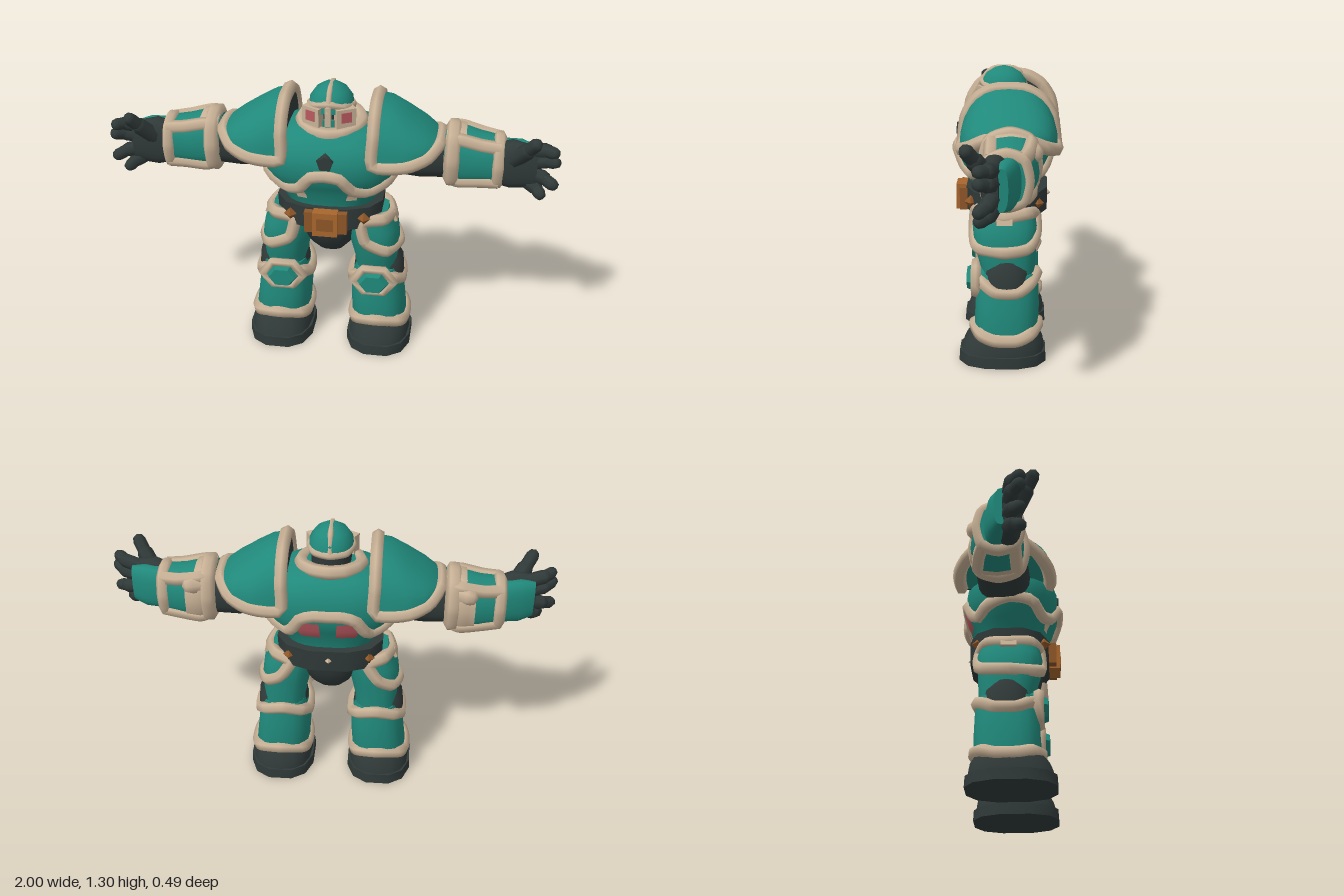
import * as THREE from 'three';
import { toCreasedNormals } from 'three/addons/utils/BufferGeometryUtils.js';

const mat = (name, hex) => {
  const m = new THREE.MeshStandardMaterial({ color: hex });
  m.name = name;
  return m;
};
const V = (x, y, z) => new THREE.Vector3(x, y, z);

export function createModel() {
  const teal = mat('teal armour', 0x20897b), tan = mat('tan trim', 0xc8b196), dark = mat('dark suit', 0x303a39);
  const orange = mat('orange buckle', 0xa9662d), brown = mat('brown metal', 0x8e5628), red = mat('red lights', 0xb9595f);
  const root = new THREE.Group();
  root.name = 'armouredFigure';
  let parent = root;

  const add = (name, geo, m, p = [0, 0, 0], r = [0, 0, 0]) => {
    const mesh = new THREE.Mesh(geo, m);
    mesh.name = name;
    mesh.position.set(...p);
    mesh.rotation.set(...r);
    parent.add(mesh);
    return mesh;
  };

  // A body is rows [t, centreU, centreV, radiusU, radiusV] along the y axis (u = x) or x axis (u = y)
  const body = (rows, o = {}) => ({ rows, axis: 'y', s: 1, e: 0.78, n: 20, start: 0, half: false, ...o });
  const pow = (v, e) => Math.sign(v) * Math.abs(v) ** e;
  function surf(b, t, deg, off = 0) {
    let i = 0;
    while (i < b.rows.length - 2 && t > b.rows[i + 1][0]) i++;
    const p = b.rows[i], q = b.rows[i + 1], k = (t - p[0]) / (q[0] - p[0]);
    const r = p.map((v, j) => v + (q[j] - v) * k), a = THREE.MathUtils.degToRad(deg);
    const c = pow(Math.cos(a), b.e);
    const u = r[1] + (r[3] + off) * (b.half ? Math.max(0, c) : c);
    const v = r[2] + (r[4] + off) * pow(Math.sin(a), b.e);
    return b.axis === 'y' ? V(b.s * u, t, v) : V(b.s * t, u, v);
  }

  // Skin a grid of points, optionally as a closed and capped solid
  function skin(grid, solid, flip) {
    const n = grid[0].length, pts = grid.flat(), idx = [];
    const tri = (a, b, c) => (flip ? idx.push(a, c, b) : idx.push(a, b, c));
    for (let i = 0; i < grid.length - 1; i++) {
      for (let j = 0; j < (solid ? n : n - 1); j++) {
        const k = (j + 1) % n, a = i * n + j, b = i * n + k;
        tri(a, b, a + n);
        tri(b, b + n, a + n);
      }
    }
    if (solid) {
      [0, grid.length - 1].forEach((row) => {
        const c = pts.length;
        pts.push(grid[row].reduce((s, p) => s.add(p), V(0, 0, 0)).divideScalar(n));
        for (let j = 0; j < n; j++) {
          const a = row * n + j, b = row * n + ((j + 1) % n);
          row ? tri(c, a, b) : tri(c, b, a);
        }
      });
    }
    const g = new THREE.BufferGeometry().setFromPoints(pts);
    g.setIndex(idx);
    return toCreasedNormals(g, 0.75);
  }
  const flipped = (b) => (b.axis === 'y') !== (b.s < 0);
  const solid = (name, b, m) => {
    const ring = (r) => Array.from({ length: b.n }, (_, j) => surf(b, r[0], b.start + (j * 360) / b.n));
    add(name, skin(b.rows.map(ring), true, flipped(b)), m);
    return b;
  };
  // Thin painted plate lying on a body
  const patch = (name, b, m, a0, a1, t0, t1, off = 0.008) => {
    const grid = [0, 1, 2, 3, 4].map((i) => [0, 1, 2, 3, 4].map((j) =>
      surf(b, t0 + ((t1 - t0) * i) / 4, a0 + ((a1 - a0) * j) / 4, off)));
    add(name, skin(grid, false, flipped(b)), m);
  };
  const tube = (name, pts, r, m = tan, closed = true) =>
    add(name, new THREE.TubeGeometry(new THREE.CatmullRomCurve3(pts, closed, 'catmullrom', 0.3), 56, r, 6, closed), m);
  // Trim following a body through [angle, t] pairs, sunk a little into it
  const trim = (name, b, list, r, closed = true) => tube(name, list.map(([a, t]) => surf(b, t, a, -0.006)), r, tan, closed);
  const mirrored = (list) => [...list, ...list.slice(1, -1).reverse().map(([a, t]) => [180 - a, t])];
  const limb = (name, a, b, r, m) => {
    const d = b.clone().sub(a);
    const mesh = add(name, new THREE.CapsuleGeometry(r, d.length(), 2, 7), m, a.clone().add(b).multiplyScalar(0.5).toArray());
    mesh.quaternion.setFromUnitVectors(V(0, 1, 0), d.normalize());
  };

  // Torso
  const torso = solid('torso', body([[0.74, 0, 0, 0.19, 0.15], [0.82, 0, 0, 0.24, 0.165], [0.86, 0, 0, 0.275, 0.19],
    [0.92, 0, 0.005, 0.3, 0.212], [1, 0, 0.005, 0.3, 0.212], [1.06, 0, 0, 0.27, 0.19], [1.1, 0, -0.005, 0.21, 0.155],
    [1.125, 0, -0.01, 0.12, 0.1]], { n: 28 }), teal);
  trim('chestTrim', torso, mirrored([[90, 0.94], [82, 0.93], [71, 0.865], [50, 0.845], [25, 0.885], [0, 0.895],
    [-25, 0.87], [-48, 0.845], [-61, 0.87], [-72, 0.935], [-82, 0.955], [-90, 0.955]]), 0.03);
  add('chestGem', new THREE.CylinderGeometry(0.036, 0.046, 0.03, 5), dark, [0, 1, 0.207], [Math.PI / 2, Math.PI, 0]);
  for (const a of [62, 106]) patch('bellyMark', torso, tan, a, a + 12, 0.8, 0.84);
  for (const a of [-86, -112]) patch('backLight', torso, red, a, a + 18, 0.83, 0.92);

  // Pelvis and belt
  solid('pelvis', body([[0.48, 0, 0, 0.06, 0.06], [0.53, 0, 0, 0.1, 0.11], [0.6, 0, 0, 0.14, 0.14], [0.68, 0, 0, 0.19, 0.155]]), dark);
  solid('belt', body([[0.655, 0, -0.005, 0.24, 0.185], [0.76, 0, -0.005, 0.245, 0.187]], { n: 12, start: 15 }), dark);
  add('buckle', new THREE.BoxGeometry(0.19, 0.1, 0.035), brown, [0, 0.702, 0.19]);
  add('buckleCentre', new THREE.BoxGeometry(0.11, 0.115, 0.05), orange, [0, 0.702, 0.2]);
  add('bucklePanel', new THREE.BoxGeometry(0.075, 0.06, 0.008), brown, [0, 0.702, 0.223]);
  for (const s of [-1, 1]) {
    add('beltStud', new THREE.OctahedronGeometry(0.03), brown, [s * 0.165, 0.71, 0.153]);
    add('rearBeltStud', new THREE.OctahedronGeometry(0.028), brown, [s * 0.178, 0.71, -0.145]);
  }
  add('backBeltStud', new THREE.OctahedronGeometry(0.027), tan, [0, 0.71, -0.175]);

  // Head and collar
  solid('neck', body([[1.08, 0, 0, 0.085, 0.085], [1.2, 0, 0.005, 0.092, 0.1]], { e: 0.95 }), dark);
  const dome = solid('helmetDome', body([[1.185, 0, 0.01, 0.1, 0.108], [1.23, 0, 0.01, 0.094, 0.1],
    [1.265, 0, 0.01, 0.07, 0.077], [1.288, 0, 0.01, 0.035, 0.04], [1.295, 0, 0.01, 0.008, 0.01]], { e: 0.95 }), teal);
  trim('helmetBand', dome, mirrored([[90, 1.225], [45, 1.21], [0, 1.195], [-45, 1.19], [-90, 1.19]]), 0.017);
  tube('helmetCrest', [V(0, 1.19, 0.116), V(0, 1.23, 0.105), V(0, 1.265, 0.08), V(0, 1.283, 0.045),
    V(0, 1.283, -0.025), V(0, 1.265, -0.06), V(0, 1.19, -0.093)], 0.013, tan, false);
  add('noseGuard', new THREE.BoxGeometry(0.026, 0.085, 0.03), tan, [0, 1.175, 0.11]);
  add('mouthGuard', new THREE.BoxGeometry(0.05, 0.06, 0.03), teal, [0, 1.125, 0.095]);
  for (const s of [-1, 1]) {
    const cheek = new THREE.Group();
    cheek.name = 'cheek';
    cheek.position.set(s * 0.068, 1.155, 0.087);
    cheek.rotation.y = s * 0.5;
    root.add(cheek);
    parent = cheek;
    add('cheekGuard', new THREE.BoxGeometry(0.088, 0.11, 0.045), tan);
    add('eye', new THREE.BoxGeometry(0.046, 0.046, 0.008), red, [0, 0.018, 0.022]);
    parent = root;
  }
  tube('collar', Array.from({ length: 12 }, (_, i) => {
    const a = (i * Math.PI) / 6;
    return V(0.132 * Math.cos(a), 1.115 - 0.017 * Math.sin(a), 0.13 * Math.sin(a));
  }), 0.031);

  for (const s of [-1, 1]) {
    const side = s > 0 ? 'left' : 'right';
    const group = (name) => {
      parent = new THREE.Group();
      parent.name = side + name;
      root.add(parent);
    };
    const X = { axis: 'x', s };

    // Shoulder pad with a rim running round its whole edge
    group('Shoulder');
    const P = { ...X, half: true, n: 28, e: 0.84 };
    const pad = solid('shoulderPad', body([[0.19, 0.99, -0.018, 0.245, 0.205], [0.26, 0.985, -0.018, 0.235, 0.21],
      [0.33, 0.988, -0.018, 0.19, 0.208], [0.41, 1.01, -0.018, 0.115, 0.18], [0.465, 1.04, -0.014, 0.045, 0.12],
      [0.485, 1.05, -0.01, 0.015, 0.075]], P), teal);
    solid('padLining', body([[0.184, 0.99, -0.018, 0.235, 0.195], [0.195, 0.99, -0.018, 0.235, 0.195]], P), dark);
    const rim = [[90, 0.2], [90, 0.29], [90, 0.36], [90, 0.43], [60, 0.475], [0, 0.48], [-60, 0.475], [-90, 0.43],
      [-90, 0.36], [-90, 0.29], [-90, 0.2], [-65, 0.2], [-40, 0.2], [-15, 0.2], [15, 0.2], [40, 0.2], [65, 0.2]];
    trim('shoulderTrim', pad, rim, 0.03);

    // Arm and gauntlet
    group('Arm');
    solid('upperArm', body([[0.22, 1, -0.02, 0.11, 0.12], [0.4, 0.98, -0.025, 0.11, 0.115], [0.53, 0.97, -0.03, 0.1, 0.095]], X), dark);
    const fore = solid('gauntlet', body([[0.5, 0.985, -0.02, 0.115, 0.095], [0.56, 0.975, -0.035, 0.13, 0.115],
      [0.65, 0.967, -0.03, 0.113, 0.106], [0.76, 0.962, -0.015, 0.105, 0.085]], X), teal);
    const ring = [0, 45, 90, 135, 180, 225, 270, 315];
    trim('elbowTrim', fore, ring.map((a) => [a, 0.535]), 0.037);
    trim('wristTrim', fore, ring.map((a) => [a, 0.735]), 0.03);
    for (const a of [42, 138, 222, 318]) trim('gauntletTrim', fore, [[a, 0.52], [a, 0.57], [a, 0.66], [a, 0.74]], 0.031, false);
    for (const a of [0, 180]) patch('elbowBand', fore, tan, a - 45, a + 45, 0.505, 0.59);
    patch('elbowPlate', fore, tan, 222, 318, 0.505, 0.63);
    limb('elbowKnob', V(s * 0.54, 1.04, -0.1), V(s * 0.6, 1.04, -0.125), 0.042, tan);

    // Hand with the palm to the front
    solid('backOfHand', body([[0.75, 0.962, -0.025, 0.098, 0.055], [0.83, 0.965, -0.018, 0.1, 0.045], [0.89, 0.965, 0, 0.085, 0.03]], X), teal);
    solid('palm', body([[0.75, 0.965, 0.02, 0.1, 0.055], [0.79, 0.968, 0.025, 0.112, 0.055], [0.9, 0.965, 0.038, 0.095, 0.03]], X), dark);
    const fingers = [[1.035, 0.93, 1.05, 0.962, 1.055], [0.985, 0.935, 1.0, 0.97, 1.01], [0.935, 0.93, 0.92, 0.97, 0.905], [0.89, 0.9, 0.87, 0.92, 0.855]];
    for (const [y0, x1, y1, x2, y2] of fingers) {
      limb('fingerBase', V(s * 0.86, y0, 0.028), V(s * x1, y1, 0.045), 0.033, dark);
      limb('fingerTip', V(s * x1, y1, 0.045), V(s * x2, y2, 0.075), 0.028, dark);
    }
    limb('thumbBase', V(s * 0.8, 1.0, 0.05), V(s * 0.85, 1.065, 0.095), 0.037, dark);
    limb('thumbTip', V(s * 0.85, 1.065, 0.095), V(s * 0.88, 1.11, 0.125), 0.03, dark);

    // Leg
    group('Leg');
    const thigh = solid('thigh', body([[0.35, 0.215, -0.02, 0.095, 0.11], [0.45, 0.213, -0.01, 0.1, 0.125],
      [0.54, 0.205, 0, 0.113, 0.14], [0.62, 0.19, 0, 0.117, 0.145], [0.7, 0.155, 0, 0.108, 0.13]], { s }), teal);
    trim('thighTrim', thigh, [[94, 0.675], [99, 0.58], [60, 0.53], [0, 0.522], [-45, 0.535], [-82, 0.58], [-90, 0.66],
      [-45, 0.68], [0, 0.668], [45, 0.68]], 0.03);
    add('hipTab', new THREE.BoxGeometry(0.035, 0.05, 0.07), tan, [s * 0.282, 0.66, 0], [0, 0, s * 0.35]);
    solid('kneeJoint', body([[0.36, 0.225, -0.01, 0.118, 0.105], [0.43, 0.225, -0.01, 0.112, 0.1], [0.48, 0.222, -0.01, 0.09, 0.06]], { s }), dark);
    const shin = solid('shin', body([[0.07, 0.235, -0.01, 0.12, 0.13], [0.14, 0.232, -0.005, 0.128, 0.145],
      [0.25, 0.222, -0.01, 0.125, 0.143], [0.34, 0.218, -0.01, 0.118, 0.14], [0.41, 0.216, -0.01, 0.1, 0.132]], { s }), teal);
    const vee = (front, out, back) => mirrored([[90, front], [45, (front + out) / 2], [15, out], [-15, out], [-45, (back + out) / 2], [-90, back]]);
    trim('shinTopTrim', shin, vee(0.4, 0.34, 0.4), 0.031);
    trim('shinBottomTrim', shin, vee(0.155, 0.122, 0.165), 0.032);
    const knee = new THREE.CylinderGeometry(0.06, 0.1, 0.08, 6).rotateY(Math.PI / 6).rotateX(Math.PI / 2);
    add('kneePlate', toCreasedNormals(knee, 0.3), teal, [s * 0.212, 0.37, 0.13]).scale.y = 0.78;
    add('kneeTrim', new THREE.TorusGeometry(0.092, 0.026, 6, 6), tan, [s * 0.212, 0.37, 0.128]).scale.y = 0.74;

    // Boot
    solid('sole', body([[0, 0.235, 0.01, 0.155, 0.2], [0.05, 0.235, 0.01, 0.153, 0.197]], { s, n: 12, start: 15 }), dark);
    solid('boot', body([[0.045, 0.235, 0.01, 0.143, 0.188], [0.1, 0.235, 0.005, 0.138, 0.175], [0.15, 0.233, 0, 0.115, 0.14]], { s, n: 16 }), dark);
  }
  return root;
}
